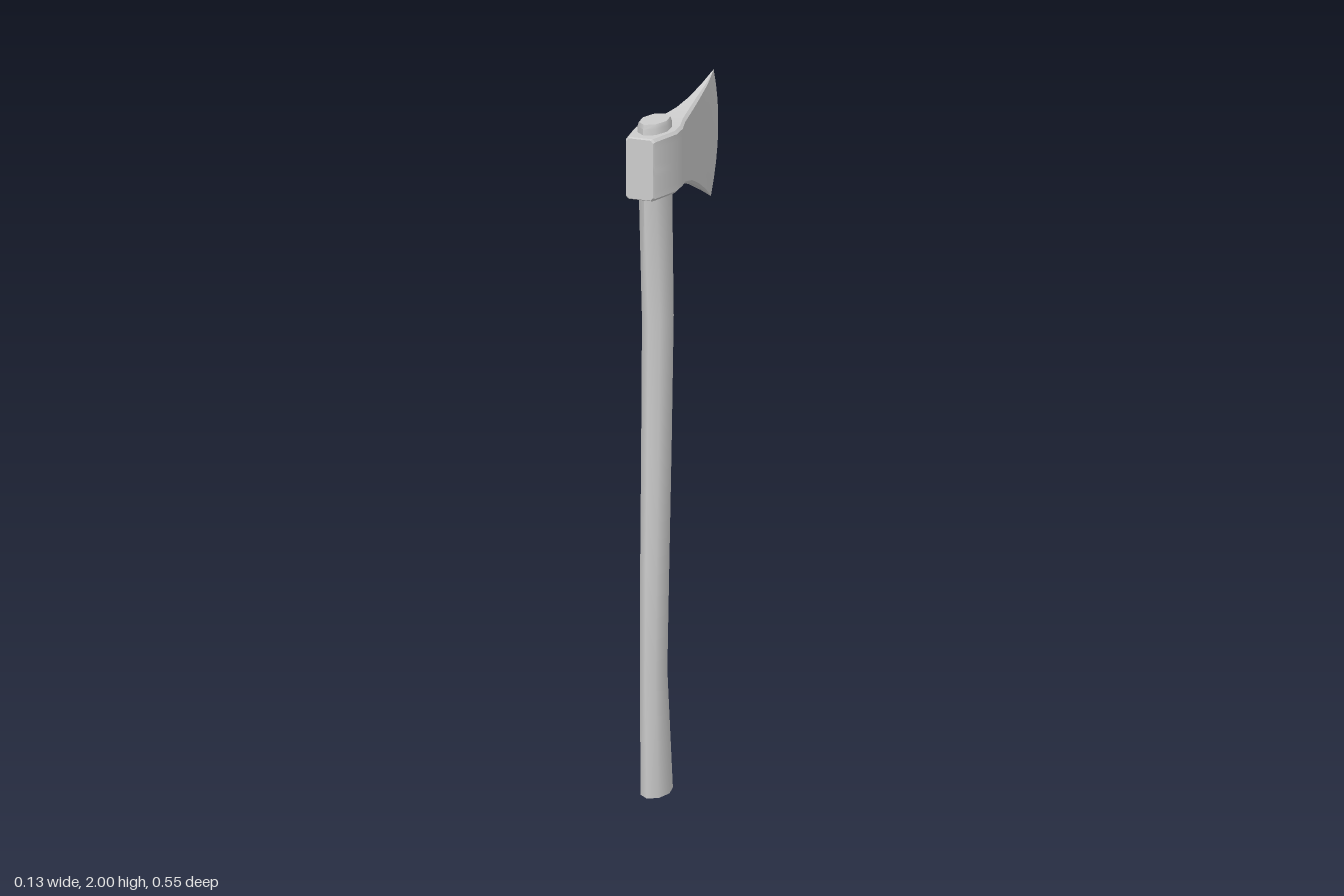
import * as THREE from 'three';
import { toCreasedNormals } from 'three/addons/utils/BufferGeometryUtils.js';

// Skin a list of rings (each counter-clockwise about the travel direction) and close both ends
function loft(rings, crease) {
  const n = rings[0].length;
  const pos = rings.flat(2);
  const idx = [];
  for (let r = 0; r < rings.length - 1; r++) {
    for (let i = 0; i < n; i++) {
      const a = r * n + i, b = r * n + (i + 1) % n;
      idx.push(a, b, b + n, a, b + n, a + n);
    }
  }
  const cap = (r, flip) => {
    const c = pos.length / 3;
    for (let k = 0; k < 3; k++) pos.push(rings[r].reduce((s, p) => s + p[k], 0) / n);
    for (let i = 0; i < n; i++) {
      const a = r * n + i, b = r * n + (i + 1) % n;
      if (flip) idx.push(c, b, a); else idx.push(c, a, b);
    }
  };
  cap(0, true);
  cap(rings.length - 1, false);
  const g = new THREE.BufferGeometry();
  g.setAttribute('position', new THREE.Float32BufferAttribute(pos, 3));
  g.setIndex(idx);
  return toCreasedNormals(g, crease);
}

// Eight-sided oval shaft; each station is [y, front z, back z, half width]
function handleGeometry() {
  const stations = [
    [0.007, 0.218, 0.095, 0.042],
    [0.36, 0.23, 0.127, 0.036],
    [0.65, 0.226, 0.116, 0.038],
    [1.0, 0.216, 0.102, 0.04],
    [1.38, 0.207, 0.09, 0.042],
    [1.75, 0.235, 0.095, 0.041],
    [1.948, 0.244, 0.098, 0.042],
    [1.96, 0.24, 0.102, 0.038],
  ];
  return loft(stations.map(([y, zf, zb, w], s) => {
    const ring = [];
    for (let i = 0; i < 8; i++) {
      const t = i * Math.PI / 4 - 0.1;
      const c = Math.cos(t);
      const tilt = s === 0 ? -0.007 * c : 0; // slanted butt end
      ring.push([w * Math.sin(t), y + tilt, (zf + zb) / 2 + c * (zf - zb) / 2]);
    }
    return ring;
  }), 1.2);
}

// Wedge head; each station is [z, half width, bottom y, top y, edge curvature]
function headGeometry() {
  const stations = [
    [0.277, 0.041, 1.753, 1.927, 0],
    [0.271, 0.045, 1.75, 1.93, 0],
    [0.165, 0.066, 1.75, 1.93, 0],
    [0.107, 0.058, 1.75, 1.93, 0],
    [0.05, 0.041, 1.745, 1.934, 0],
    [-0.03, 0.027, 1.728, 1.943, 0],
    [-0.1, 0.0175, 1.702, 1.957, 0.15],
    [-0.175, 0.0095, 1.668, 1.977, 0.5],
    [-0.235, 0.0005, 1.638, 2.0, 1],
  ];
  const levels = 8;
  return loft(stations.map(([z, w, y0, y1, k]) => {
    const b = Math.min(0.008, w * 0.4); // bevel along top and bottom
    const bow = (y) => {
      const v = (y - y0) / (y1 - y0);
      return z - k * (0.042 * 4 * v * (1 - v) + 0.02 * (v - 0.5));
    };
    const side = [[w - b, y1, bow(y1)]];
    for (let i = 0; i <= levels; i++) {
      const y = THREE.MathUtils.lerp(y1 - b, y0 + b, i / levels);
      side.push([w, y, bow(y)]);
    }
    side.push([w - b, y0, bow(y0)]);
    const mirrored = side.map(([x, y, zz]) => [-x, y, zz]).reverse();
    return [...side, ...mirrored];
  }), 0.45);
}

export function createModel() {
  const group = new THREE.Group();
  group.name = 'axe';
  const material = new THREE.MeshStandardMaterial({ color: 0xcccccc });
  const add = (name, geometry) => {
    const mesh = new THREE.Mesh(geometry, material);
    mesh.name = name;
    group.add(mesh);
  };
  add('handle', handleGeometry());
  add('axeHead', headGeometry());
  return group;
}
